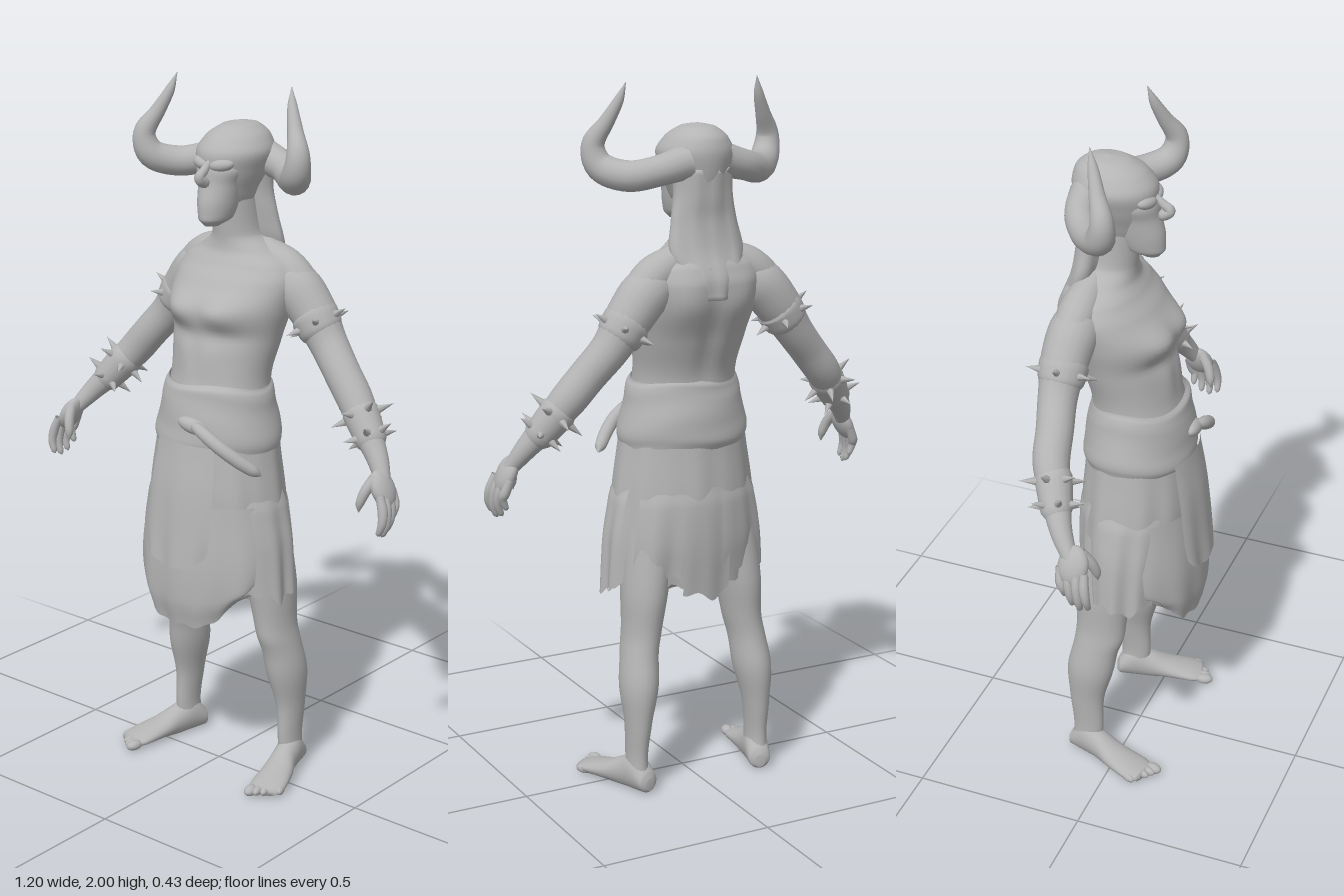
import * as THREE from 'three';
import { mergeVertices } from 'three/addons/utils/BufferGeometryUtils.js';

const stone = new THREE.MeshStandardMaterial({ color: 0xb4b4b4, side: THREE.DoubleSide });
stone.name = 'stone grey';

const V = (x, y, z) => new THREE.Vector3(x, y, z);

function add(parent, name, geometry) {
  const mesh = new THREE.Mesh(geometry, stone);
  mesh.name = name;
  parent.add(mesh);
  return mesh;
}

function smooth(g) {
  g.deleteAttribute('uv');
  g.deleteAttribute('normal');
  g = mergeVertices(g, 1e-5);
  g.computeVertexNormals();
  return g;
}

// Skin through rising elliptical rings [x, y, z, rx, rz]; from/to limit the sweep (0 = front)
function loft(rings, { rule, from = 0, to = Math.PI * 2, sides = 32, steps = 5, cap = false } = {}) {
  const centre = new THREE.CatmullRomCurve3(rings.map(r => V(r[0], r[1], r[2])), false, 'centripetal');
  const size = new THREE.CatmullRomCurve3(rings.map(r => V(r[3], 0, r[4])), false, 'catmullrom', 0.4);
  const rows = (rings.length - 1) * steps, pos = [], idx = [];
  for (let j = 0; j <= rows; j++) {
    const t = j / rows, c = centre.getPoint(t), s = size.getPoint(t);
    for (let i = 0; i <= sides; i++) {
      const a = from + (to - from) * i / sides;
      const p = V(c.x + s.x * Math.sin(a), c.y, c.z + s.z * Math.cos(a));
      if (rule) rule(p, a, t);
      pos.push(p.x, p.y, p.z);
      if (i < sides && j < rows) {
        const k = j * (sides + 1) + i, u = k + sides + 1;
        idx.push(k, k + 1, u, k + 1, u + 1, u);
      }
    }
  }
  if (cap) {
    const lo = centre.getPoint(0), hi = centre.getPoint(1), n = pos.length / 3, top = rows * (sides + 1);
    pos.push(lo.x, lo.y, lo.z, hi.x, hi.y, hi.z);
    for (let i = 0; i < sides; i++) idx.push(n, i + 1, i, n + 1, top + i, top + i + 1);
  }
  const g = new THREE.BufferGeometry();
  g.setAttribute('position', new THREE.Float32BufferAttribute(pos, 3));
  g.setIndex(idx);
  return smooth(g);
}

// Round limb along points [x, y, z, radius]
function limb(points, sides = 14, steps = 6) {
  const curve = new THREE.CatmullRomCurve3(points.map(p => V(p[0], p[1], p[2])));
  const radius = new THREE.CatmullRomCurve3(points.map(p => V(p[3], 0, 0)), false, 'catmullrom', 0.4);
  const rows = (points.length - 1) * steps;
  const g = new THREE.TubeGeometry(curve, rows, 1, sides, false), pos = g.attributes.position, v = V(0, 0, 0);
  for (let j = 0; j <= rows; j++) {
    const u = j / rows, c = curve.getPointAt(u), r = radius.getPoint(curve.getUtoTmapping(u)).x;
    for (let i = 0; i <= sides; i++) {
      const k = j * (sides + 1) + i;
      v.fromBufferAttribute(pos, k).sub(c).multiplyScalar(r).add(c);
      pos.setXYZ(k, v.x, v.y, v.z);
    }
  }
  return smooth(g);
}

function blob(parent, name, at, scale, rot = [0, 0, 0]) {
  const m = add(parent, name, new THREE.SphereGeometry(1, 20, 14));
  m.position.set(...at); m.scale.set(...scale); m.rotation.set(...rot);
}

// Ring of spikes around an arm
function spikes(parent, name, at, axis, radius, count, turn, length) {
  const q = new THREE.Quaternion().setFromUnitVectors(V(0, 1, 0), axis);
  for (let i = 0; i < count; i++) {
    const a = turn + i * Math.PI * 2 / count;
    const dir = V(Math.cos(a), 0, Math.sin(a)).applyQuaternion(q);
    const m = add(parent, name, new THREE.ConeGeometry(0.014, length, 7));
    m.position.copy(at).addScaledVector(dir, radius + length * 0.35);
    m.quaternion.setFromUnitVectors(V(0, 1, 0), dir);
  }
}

// Ragged cloth: the hem is uneven, the folds deepen downwards
const cloth = (folds, depth, jag, shape = () => 0) => (p, a, t) => {
  const w = 1 - t, f = 1 + depth * w * (Math.sin(a * folds) + 0.6 * Math.sin(a * folds * 1.6 + 2));
  p.x *= f; p.z *= f;
  p.y += w * w * (jag * (Math.sin(a * 7 + 1) + 0.7 * Math.sin(a * 17)) + shape(a));
};

// Soft swelling around (x, y), the same on both halves of the body
const swell = (p, x, y, w, h) => Math.exp(-(((Math.abs(p.x) - x) / w) ** 2) - ((p.y - y) / h) ** 2);

function buildHead(root) {
  const head = new THREE.Group(); head.name = 'head'; root.add(head);
  add(head, 'skull', loft([[0, 1.65, -0.07, 0.045, 0.07], [0, 1.7, -0.07, 0.066, 0.095], [0, 1.76, -0.07, 0.09, 0.112],
    [0, 1.81, -0.072, 0.103, 0.117], [0, 1.85, -0.082, 0.082, 0.098], [0, 1.878, -0.09, 0.045, 0.058], [0, 1.887, -0.09, 0.002, 0.002]], { cap: true }));
  add(head, 'face', loft([[0, 1.615, 0.03, 0.02, 0.025], [0, 1.635, 0.012, 0.042, 0.058], [0, 1.68, 0, 0.053, 0.068],
    [0, 1.73, -0.005, 0.06, 0.06], [0, 1.77, -0.01, 0.072, 0.06], [0, 1.81, -0.03, 0.06, 0.06]], { cap: true }));
  add(head, 'nose', limb([[0, 1.795, 0.036, 0.006], [0, 1.77, 0.062, 0.012], [0, 1.752, 0.084, 0.014], [0, 1.735, 0.06, 0.015], [0, 1.73, 0.045, 0.002]], 10));
  for (const s of [1, -1]) {
    blob(head, 'brow', [s * 0.034, 1.783, 0.03], [0.036, 0.018, 0.02], [0, s * 0.35, s * 0.15]);
    add(head, 'horn', limb([[s * 0.05, 1.79, -0.13, 0.048], [s * 0.13, 1.768, -0.118, 0.042], [s * 0.2, 1.752, -0.07, 0.042],
      [s * 0.255, 1.775, -0.012, 0.04], [s * 0.27, 1.83, 0, 0.032], [s * 0.24, 1.895, -0.025, 0.021],
      [s * 0.215, 1.95, -0.045, 0.014], [s * 0.2, 2, -0.06, 0.001]], 16));
  }
  add(head, 'hair', loft([[0, 1.42, -0.2, 0.035, 0.014], [0, 1.48, -0.18, 0.08, 0.032], [0, 1.55, -0.142, 0.112, 0.042],
    [0, 1.63, -0.125, 0.1, 0.045], [0, 1.7, -0.12, 0.086, 0.055], [0, 1.77, -0.115, 0.085, 0.065]],
    { rule: p => { p.z += 0.003 * Math.sin(p.x * 110); }, cap: true }));
}

function buildTorso(root) {
  const torso = new THREE.Group(); torso.name = 'torso'; root.add(torso);
  add(torso, 'body', loft([[0, 0.98, 0, 0.16, 0.13], [0, 1.12, 0, 0.155, 0.13], [0, 1.2, -0.012, 0.15, 0.123], [0, 1.3, -0.038, 0.165, 0.132],
    [0, 1.39, -0.055, 0.184, 0.15], [0, 1.46, -0.082, 0.19, 0.132], [0, 1.505, -0.095, 0.17, 0.108], [0, 1.54, -0.095, 0.115, 0.088],
    [0, 1.58, -0.085, 0.07, 0.076], [0, 1.68, -0.07, 0.06, 0.07]], {
    sides: 56, steps: 7,
    // chest, ribs, shoulder blades and spine
    rule: (p, a) => {
      const f = Math.cos(a);
      if (f > 0) p.z += f * (0.024 * swell(p, 0.08, 1.385, 0.06, 0.04) + 0.007 * swell(p, 0.04, 1.26, 0.03, 0.06) - 0.01 * swell(p, 0.08, 1.32, 0.09, 0.025));
      else p.z += f * (0.016 * swell(p, 0.1, 1.41, 0.05, 0.07) - 0.014 * swell(p, 0, 1.33, 0.03, 0.15));
    }
  }));
  for (const s of [1, -1])
    add(torso, 'trapezius', limb([[s * 0.02, 1.58, -0.11, 0.02], [s * 0.08, 1.525, -0.115, 0.045], [s * 0.15, 1.485, -0.12, 0.055], [s * 0.21, 1.43, -0.125, 0.05]], 16));
}

function buildArm(root, s) {
  const arm = new THREE.Group(); arm.name = s > 0 ? 'leftArm' : 'rightArm'; root.add(arm);
  const fwd = s > 0 ? 0 : 0.05; // the right hand reaches a little further forward
  add(arm, 'armFlesh', limb([[s * 0.09, 1.455, -0.11, 0.045], [s * 0.165, 1.447, -0.12, 0.068], [s * 0.225, 1.385, -0.127, 0.066], [s * 0.285, 1.3, -0.125, 0.054],
    [s * 0.345, 1.23, -0.11, 0.051], [s * 0.4, 1.165, -0.098, 0.05], [s * 0.46, 1.09, -0.075 + fwd * 0.3, 0.04],
    [s * 0.51, 1.03, -0.055 + fwd * 0.6, 0.03], [s * 0.55, 0.97, -0.03 + fwd, 0.02]], 18));
  // spiked bands
  const upper = V(s * 0.5, -0.8, 0).normalize(), fore = V(s * 0.6, -0.75, 0.25).normalize();
  add(arm, 'upperBand', limb([[s * 0.227, 1.375, -0.127, 0.063], [s * 0.235, 1.367, -0.127, 0.068], [s * 0.26, 1.33, -0.127, 0.063], [s * 0.267, 1.32, -0.127, 0.055]], 18, 3));
  spikes(arm, 'upperSpike', V(s * 0.247, 1.348, -0.127), upper, 0.061, 6, 0.1, 0.05);
  add(arm, 'wristBand', limb([[s * 0.415, 1.145, -0.095 + fwd * 0.15, 0.046], [s * 0.422, 1.137, -0.092 + fwd * 0.18, 0.051],
    [s * 0.48, 1.065, -0.07 + fwd * 0.4, 0.042], [s * 0.486, 1.058, -0.067 + fwd * 0.42, 0.034]], 18, 3));
  spikes(arm, 'wristSpike', V(s * 0.43, 1.128, -0.09 + fwd * 0.2), fore, 0.046, 6, 0.3, 0.055);
  spikes(arm, 'wristSpike', V(s * 0.468, 1.08, -0.075 + fwd * 0.36), fore, 0.04, 6, 0.8, 0.05);
  // hand
  blob(arm, 'palm', [s * 0.551, 0.963, -0.025 + fwd], [0.024, 0.055, 0.043], [0, 0, s * 0.45]);
  for (let i = 0; i < 4; i++) {
    const z = 0.012 - i * 0.024 + fwd, drop = [0.01, 0, 0.008, 0.03][i], x = 0.572 - i * 0.004;
    add(arm, 'finger', limb([[s * (x - 0.005), 0.955, z, 0.012], [s * (x + 0.01), 0.915, z + 0.006, 0.014], [s * (x + 0.013), 0.872 + drop, z + 0.012, 0.012],
      [s * (x + 0.003), 0.842 + drop, z + 0.014, 0.008], [s * x, 0.836 + drop, z + 0.014, 0.001]], 9, 4));
  }
  add(arm, 'thumb', limb([[s * 0.535, 0.995, -0.01 + fwd, 0.016], [s * 0.522, 0.96, 0.015 + fwd, 0.015], [s * 0.512, 0.925, 0.026 + fwd, 0.012], [s * 0.51, 0.9, 0.028 + fwd, 0.001]], 9, 4));
}

function buildLeg(root, s) {
  const leg = new THREE.Group(); leg.name = s > 0 ? 'leftLeg' : 'rightLeg'; root.add(leg);
  add(leg, 'legFlesh', loft([[s * 0.195, 0.03, -0.095, 0.032, 0.045], [s * 0.195, 0.1, -0.09, 0.028, 0.046], [s * 0.192, 0.2, -0.095, 0.036, 0.052],
    [s * 0.184, 0.31, -0.085, 0.053, 0.07], [s * 0.174, 0.4, -0.07, 0.051, 0.068], [s * 0.163, 0.46, -0.06, 0.053, 0.073],
    [s * 0.15, 0.58, -0.055, 0.064, 0.084], [s * 0.12, 0.78, -0.03, 0.08, 0.09]], {
    sides: 24, rule: (p, a) => { p.z += 0.008 * Math.max(0, Math.cos(a)) * Math.exp(-(((p.y - 0.42) / 0.035) ** 2)); }
  }));
  // foot: rings run heel to toe, then are laid flat
  const foot = loft([[0, -0.055, -0.025, 0.015, 0.018], [0, -0.045, -0.032, 0.032, 0.032], [0, 0, -0.05, 0.036, 0.055], [0, 0.05, -0.04, 0.037, 0.046],
    [0.004, 0.11, -0.028, 0.046, 0.03], [0.004, 0.18, -0.018, 0.052, 0.019], [0.002, 0.215, -0.014, 0.042, 0.012]],
    { sides: 20, cap: true, rule: p => { p.x *= s; p.z = Math.min(p.z, 0); } }).rotateX(Math.PI / 2);
  // restore outward faces after the mirrored rule
  if (s < 0) { const a = foot.index.array; for (let i = 0; i < a.length; i += 3) [a[i], a[i + 1]] = [a[i + 1], a[i]]; foot.computeVertexNormals(); }
  const pivot = new THREE.Group(); pivot.name = 'foot'; leg.add(pivot);
  pivot.position.set(s * 0.195, 0, -0.095); pivot.rotation.y = s * 0.27;
  add(pivot, 'footFlesh', foot);
  for (let i = 0; i < 5; i++)
    blob(pivot, 'toe', [s * (-0.032 + i * 0.019), 0.014, 0.222 - i * 0.008 - (i > 2 ? 0.006 : 0)], [i ? 0.012 : 0.017, i ? 0.013 : 0.015, 0.026], [0, s * (i - 1) * 0.06, 0]);
}

function buildClothes(root) {
  const clothes = new THREE.Group(); clothes.name = 'clothes'; root.add(clothes);
  add(clothes, 'skirt', loft([[0, 0.585, 0, 0.232, 0.142], [0, 0.72, 0, 0.222, 0.158], [0, 0.85, 0.005, 0.208, 0.163], [0, 1, 0.004, 0.187, 0.15], [0, 1.12, 0, 0.165, 0.136]],
    { sides: 96, steps: 6, rule: cloth(9, 0.025, 0.014) }));
  // ragged outer panels at the sides and the back
  for (const [name, mid, half, low] of [['sidePanel', 1.35, 0.55, 0.58], ['sidePanel', -1.35, 0.55, 0.58], ['backPanel', 2.55, 0.4, 0.61], ['backPanel', -2.55, 0.4, 0.62], ['backPanel', Math.PI, 0.3, 0.57]])
    add(clothes, name, loft([[0, low, 0, 0.247, 0.15], [0, 0.72, 0, 0.238, 0.163], [0, 0.83, 0.002, 0.218, 0.165], [0, 0.88, 0.004, 0.2, 0.158]],
      { from: mid - half, to: mid + half, sides: 28, rule: cloth(11, 0.022, 0.014) }));
  // front apron in two layers, the lower one lined and wrapped round the thighs
  add(clothes, 'lowerApron', loft([[0, 0.48, 0.03, 0.2, 0.15], [0, 0.56, 0.025, 0.225, 0.168], [0, 0.68, 0.016, 0.228, 0.175], [0, 0.85, 0.008, 0.208, 0.166]],
    { from: -1.15, to: 1.15, sides: 44, rule: cloth(8, 0.02, 0.007, a => 0.11 * a * a) }));
  add(clothes, 'apronLining', loft([[0, 0.482, 0.03, 0.195, 0.135], [0, 0.56, 0.012, 0.21, 0.09], [0, 0.68, 0, 0.215, 0.11]],
    { from: -1.15, to: 1.15, sides: 44, rule: cloth(8, 0.02, 0.007, a => 0.11 * a * a) }));
  add(clothes, 'upperApron', loft([[0, 0.66, 0.025, 0.2, 0.186], [0, 0.75, 0.018, 0.218, 0.184], [0, 0.88, 0.01, 0.212, 0.178], [0, 1.02, 0.005, 0.195, 0.158]],
    { from: -0.54, to: 0.54, sides: 28, rule: cloth(10, 0.018, 0.006, a => 0.18 * a * a) }));
  // wrapped waistband and its knotted sash
  add(clothes, 'waistband', loft([[0, 0.99, 0.002, 0.185, 0.148], [0, 1.02, 0.002, 0.191, 0.157], [0, 1.07, 0, 0.182, 0.152], [0, 1.13, 0, 0.168, 0.142], [0, 1.165, 0, 0.16, 0.135], [0, 1.18, -0.003, 0.151, 0.125]],
    { sides: 64, rule: (p, a, t) => { const f = 1 + 0.008 * Math.sin(t * 16 + Math.sin(a) * 3); p.x *= f; p.z *= f; p.y += 0.008 * Math.sin(a * 3); } }));
  blob(clothes, 'knot', [0.03, 1.075, 0.148], [0.05, 0.022, 0.022], [0, 0.1, -0.2]);
  add(clothes, 'sash', limb([[0.02, 1.085, 0.15, 0.008], [0.07, 1.07, 0.162, 0.018], [0.13, 1.035, 0.156, 0.019], [0.175, 0.998, 0.13, 0.019], [0.208, 0.968, 0.1, 0.016], [0.222, 0.955, 0.085, 0.002]], 12));
}

export function createModel() {
  const root = new THREE.Group();
  root.name = 'hornedWarrior';
  buildHead(root);
  buildTorso(root);
  buildClothes(root);
  for (const s of [1, -1]) { buildArm(root, s); buildLeg(root, s); }
  return root;
}
